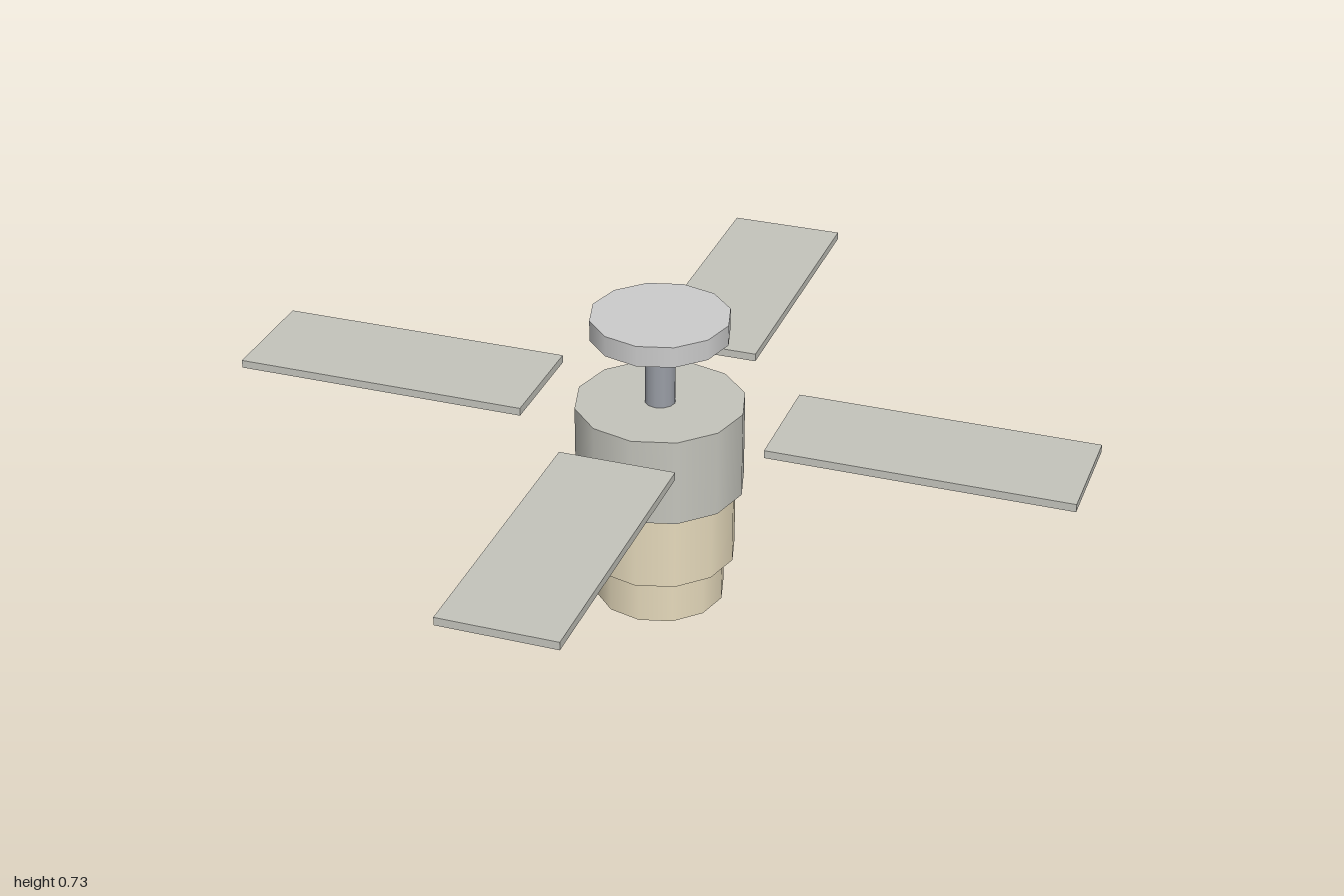
import * as THREE from 'three';

const metal = (color) => new THREE.MeshStandardMaterial({ color });

export function createModel() {
  const fan = new THREE.Group();
  fan.name = 'ceilingFan';

  const grey = metal(0xc4c4bc);
  const cream = metal(0xe6dabc);
  const steel = metal(0x9a9ea6);
  const pale = metal(0xc2c2c4);

  // Stacked twelve-sided drums: name, radius, bottom, top, material
  const drums = [
    ['lampLower', 0.154, 0, 0.112, cream],
    ['lampUpper', 0.18, 0.112, 0.295, cream],
    ['motorHousing', 0.2, 0.295, 0.508, grey],
    ['downRod', 0.036, 0.508, 0.68, steel],
    ['ceilingMount', 0.163, 0.68, 0.73, pale],
  ];
  for (const [name, radius, bottom, top, material] of drums) {
    const drum = new THREE.Mesh(new THREE.CylinderGeometry(radius, radius, top - bottom, 12), material);
    drum.name = name;
    drum.position.y = (bottom + top) / 2;
    fan.add(drum);
  }

  // Four flat blades, floating clear of the housing
  const inner = 0.293, outer = 1;
  const bladeGeometry = new THREE.BoxGeometry(outer - inner, 0.019, 0.274);
  bladeGeometry.translate((inner + outer) / 2, 0.496, 0);
  for (let i = 0; i < 4; i++) {
    const blade = new THREE.Mesh(bladeGeometry, grey);
    blade.name = `blade${i + 1}`;
    blade.rotation.y = (i * Math.PI) / 2;
    fan.add(blade);
  }

  return fan;
}
